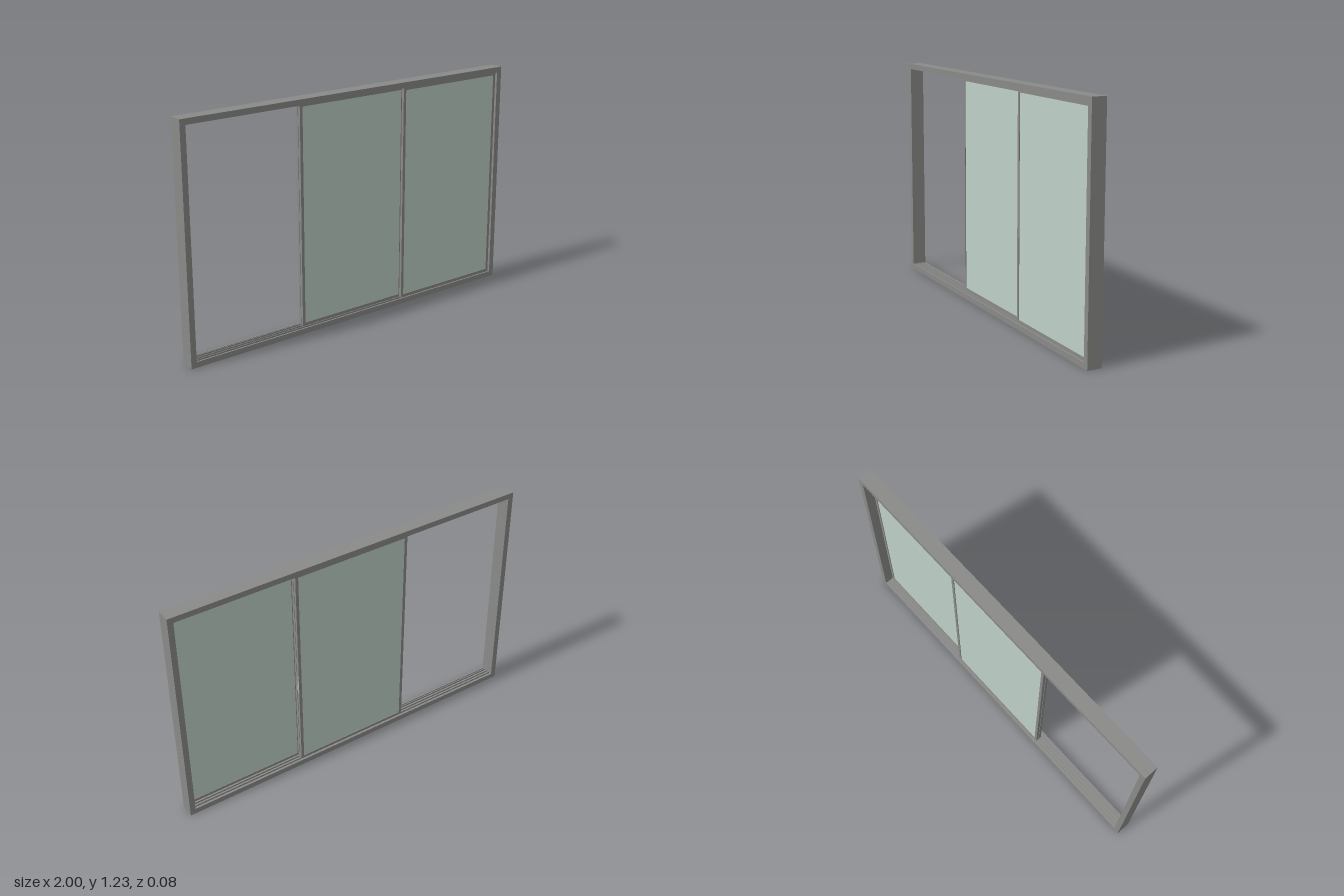
import * as THREE from 'three';

const W = 2, H = 1.225, D = 0.076;
const frameMat = new THREE.MeshStandardMaterial({ color: 0x8a8a88 });
const glassMat = new THREE.MeshStandardMaterial({ color: 0xbfd0c8 });
const pullMat = new THREE.MeshStandardMaterial({ color: 0xcccccc });

// Box given by its limits on each axis
function block(parent, name, [x0, x1], [y0, y1], [z0, z1], mat = frameMat) {
  const mesh = new THREE.Mesh(new THREE.BoxGeometry(x1 - x0, y1 - y0, z1 - z0), mat);
  mesh.position.set((x0 + x1) / 2, (y0 + y1) / 2, (z0 + z1) / 2);
  mesh.name = name;
  parent.add(mesh);
  return mesh;
}

// Sliding sash: slim stiles and rails around a thin pane
function sash(name, x0, z) {
  const g = new THREE.Group();
  g.name = name;
  const w = 0.655, stile = 0.016, t = 0.0075;
  const y0 = 0.03, y1 = 1.195, rail = 0.015, x1 = x0 + w;
  const depth = [z - t, z + t];
  block(g, 'rightStile', [x0, x0 + stile], [y0, y1], depth);
  block(g, 'leftStile', [x1 - stile, x1], [y0, y1], depth);
  block(g, 'bottomRail', [x0 + stile, x1 - stile], [y0, y0 + rail], depth);
  block(g, 'topRail', [x0 + stile, x1 - stile], [y1 - rail, y1], depth);
  block(g, 'glass', [x0 + stile, x1 - stile], [y0 + rail, y1 - rail], [z - 0.004, z + 0.004], glassMat);
  return g;
}

export function createModel() {
  const model = new THREE.Group();
  model.name = 'slidingWindow';
  const tracks = [0.018, 0, -0.018];
  const jamb = 0.03, half = D / 2, inner = W / 2 - jamb;

  // Outer frame
  const frame = new THREE.Group();
  frame.name = 'outerFrame';
  model.add(frame);
  block(frame, 'rightJamb', [-W / 2, -inner], [0, H], [-half, half]);
  block(frame, 'leftJamb', [inner, W / 2], [0, H], [-half, half]);
  block(frame, 'head', [-inner, inner], [H - 0.03, H], [-half, half]);

  // Sill with raised lips and one rib per track
  block(frame, 'sill', [-inner, inner], [0, 0.024], [-half, half]);
  block(frame, 'frontLip', [-inner, inner], [0.024, 0.03], [half - 0.008, half]);
  block(frame, 'backLip', [-inner, inner], [0.024, 0.03], [-half, -half + 0.008]);
  for (const z of tracks) {
    block(frame, 'trackRib', [-inner, inner], [0.024, 0.033], [z - 0.002, z + 0.002]);
  }

  // One sash on the front track, two stacked on the middle and back tracks
  model.add(sash('frontSash', 0.314, tracks[0]));
  model.add(sash('middleSash', -0.327, tracks[1]));
  const back = sash('backSash', -0.327, tracks[2]);
  block(back, 'edgePull', [0.327, 0.33], [0.48, 0.58], [tracks[2] - 0.004, tracks[2] + 0.004], pullMat);
  model.add(back);
  return model;
}
